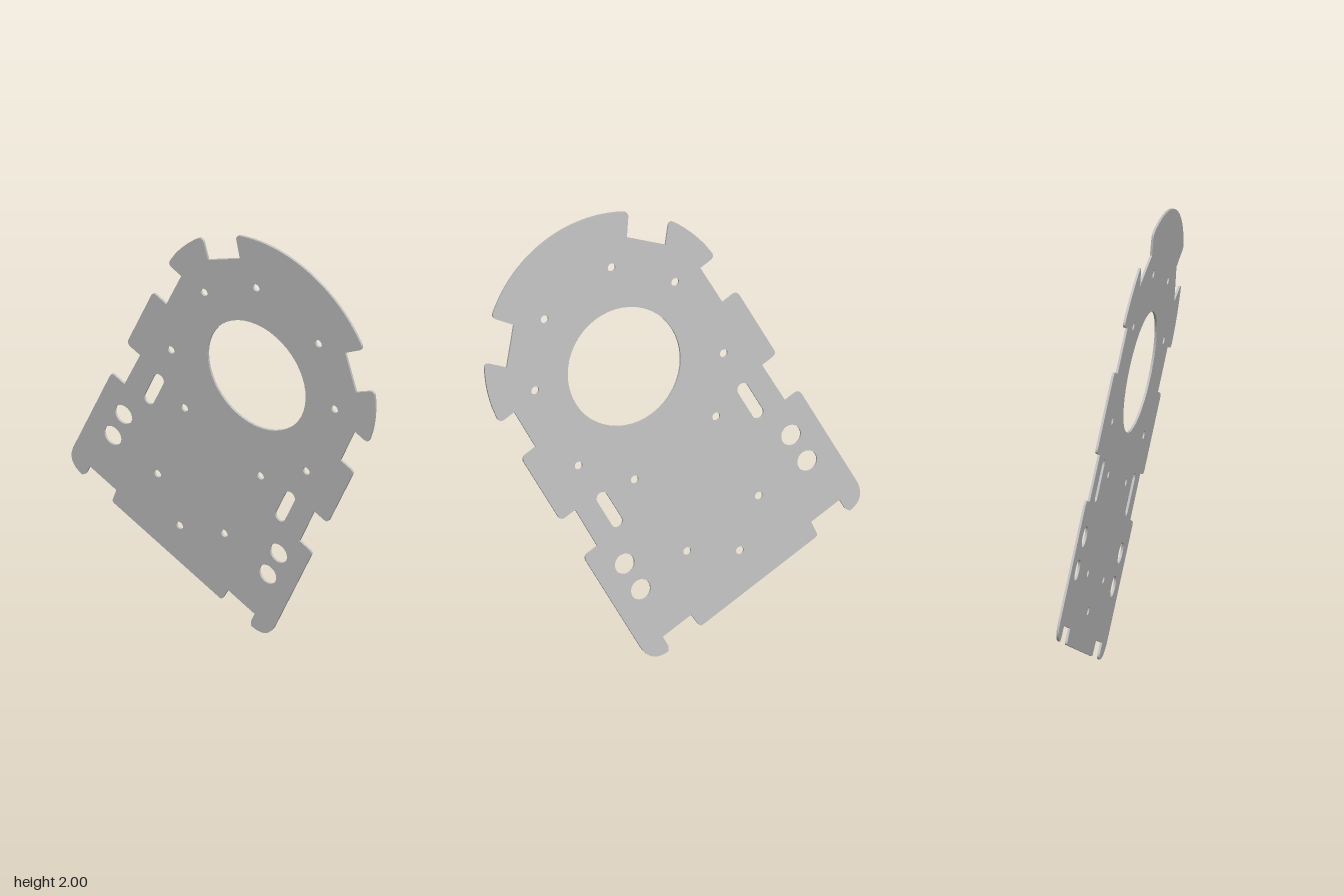
import * as THREE from 'three';

const THICKNESS = 0.01;

// Right half of the outline, bottom to top: [u, v, corner radius]
const ARC = { v: 0.12, r: 0.59 };
const onArc = (u, r) => [u, ARC.v + Math.sqrt(ARC.r ** 2 - u ** 2), r];

function arcPoints(u0, u1, steps) {
  const a0 = Math.acos(u0 / ARC.r), a1 = Math.acos(u1 / ARC.r);
  const pts = [];
  for (let i = 1; i < steps; i++) {
    const a = a0 + (a1 - a0) * i / steps;
    pts.push([ARC.r * Math.cos(a), ARC.v + ARC.r * Math.sin(a), 0]);
  }
  return pts;
}

function halfOutline() {
  return [
    [0.322, -1.213, 0.015], [0.328, -1.141, 0], [0.484, -1.141, 0],   // bottom notch
    [0.484, -1.212, 0.03], [0.59, -1.212, 0.1],                       // rounded foot
    [0.59, -0.604, 0.025], [0.514, -0.604, 0],                        // lower side notch
    [0.511, -0.4, 0], [0.59, -0.4, 0.025],
    [0.59, -0.046, 0.025], [0.511, -0.046, 0],                        // upper side notch
    [0.509, 0.151, 0], [0.59, 0.151, 0.03],
    ...arcPoints(0.585, 0.505, 8),
    onArc(0.505, 0.03), [0.434, 0.341, 0],                            // shoulder notch
    [0.309, 0.483, 0], onArc(0.375, 0.025),
    ...arcPoints(0.365, 0, 14),
  ];
}

// Closed shape with softened corners
function roundedShape(pts) {
  const shape = new THREE.Shape();
  const n = pts.length;
  pts.forEach(([x, y, r], i) => {
    const p = new THREE.Vector2(x, y);
    const toward = (q) => {
      const d = new THREE.Vector2(q[0], q[1]).sub(p);
      return d.setLength(Math.min(r, d.length() * 0.9)).add(p);
    };
    const a = r ? toward(pts[(i + n - 1) % n]) : p;
    if (i === 0) shape.moveTo(a.x, a.y);
    else shape.lineTo(a.x, a.y);
    if (r) {
      const b = toward(pts[(i + 1) % n]);
      shape.quadraticCurveTo(p.x, p.y, b.x, b.y);
    }
  });
  shape.closePath();
  return shape;
}

function circleHole(u, v, r) {
  const path = new THREE.Path();
  path.absarc(u, v, r, 0, Math.PI * 2, true);
  return path;
}

function slotHole(u, v, r, half) {
  const path = new THREE.Path();
  path.absarc(u, v + half, r, 0, Math.PI, false);
  path.absarc(u, v - half, r, Math.PI, Math.PI * 2, false);
  path.closePath();
  return path;
}

export function createModel() {
  const group = new THREE.Group();
  group.name = 'mountingPlate';
  const grey = new THREE.MeshStandardMaterial({ color: 0xc0c0c0 });
  grey.name = 'plate grey';

  // Mirrored outline
  const half = halfOutline();
  const left = half.map(([u, v, r]) => [-u, v, r]).reverse();
  const shape = roundedShape([...half, [0, ARC.v + ARC.r, 0], ...left]);

  // Central opening and single bottom screw hole
  shape.holes.push(circleHole(0, 0, 0.264), circleHole(0, -1.04, 0.018));

  // Paired screw holes, cable holes and slots
  const pairs = [
    [0.183, 0.414, 0.018], [0.383, 0.171, 0.018], [0.397, -0.243, 0.018],
    [0.223, -0.461, 0.018], [0.196, -0.888, 0.018],
    [0.455, -0.752, 0.046], [0.455, -0.897, 0.046],
  ];
  for (const s of [-1, 1]) {
    for (const [u, v, r] of pairs) shape.holes.push(circleHole(s * u, v, r));
    shape.holes.push(slotHole(s * 0.385, -0.502, 0.027, 0.066));
  }

  const geometry = new THREE.ExtrudeGeometry(shape, {
    depth: THICKNESS, bevelEnabled: false, curveSegments: 24,
  });
  geometry.translate(0, 0, -THICKNESS / 2);

  // Tilted pose: plate axes in model space
  const plate = new THREE.Mesh(geometry, grey);
  plate.name = 'plate';
  const basis = new THREE.Matrix4().makeBasis(
    new THREE.Vector3(-0.4557, 0.4736, -0.7537),
    new THREE.Vector3(0.136, 0.874, 0.467),
    new THREE.Vector3(0.8795, 0.11, -0.4626),
  );
  plate.quaternion.setFromRotationMatrix(basis);
  plate.position.set(0.058, 1.307, 0.208);
  group.add(plate);
  return group;
}
